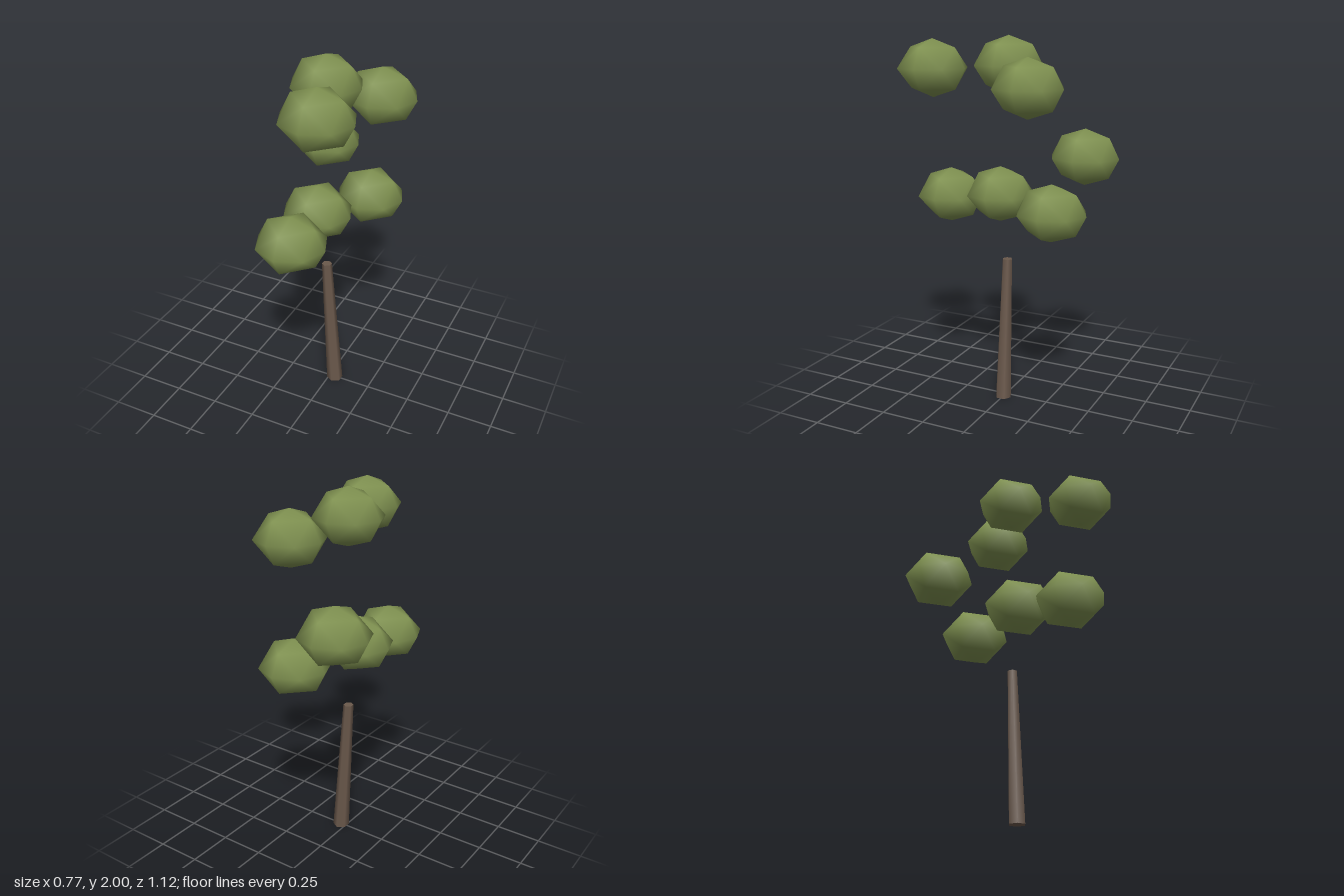
import * as THREE from 'three';

const bark = new THREE.MeshStandardMaterial({ name: 'bark brown', color: 0x6b594c });
const leaf = new THREE.MeshStandardMaterial({ name: 'leaf green', color: 0x7f9150 });

// Six-sided tapered trunk, sheared so it leans while both ends stay level
function makeTrunk() {
  const height = 0.8, baseX = 0.033, topX = -0.018;
  const geometry = new THREE.CylinderGeometry(0.028, 0.046, height, 6);
  geometry.translate(0, height / 2, 0);
  const lean = (topX - baseX) / height;
  geometry.applyMatrix4(new THREE.Matrix4().makeShear(0, 0, lean, 0, 0, 0));
  const trunk = new THREE.Mesh(geometry, bark);
  trunk.name = 'trunk';
  trunk.position.x = baseX;
  return trunk;
}

// Squashed leaf clumps floating in two tiers: centre x, y, z
const clumps = {
  upper: [[0.115, 1.83, 0.371], [-0.021, 1.848, -0.006], [0.191, 1.75, -0.211]],
  lower: [
    [-0.195, 1.366, -0.373], [0.103, 1.114, -0.309],
    [-0.045, 1.155, 0.055], [-0.041, 1.126, 0.359],
  ],
};

export function createModel() {
  const tree = new THREE.Group();
  tree.name = 'tree';
  tree.add(makeTrunk());

  const clumpGeometry = new THREE.OctahedronGeometry(0.19, 1).scale(1, 0.8, 1);
  for (const [tier, centres] of Object.entries(clumps)) {
    const foliage = new THREE.Group();
    foliage.name = `${tier}Foliage`;
    centres.forEach((centre, i) => {
      const clump = new THREE.Mesh(clumpGeometry, leaf);
      clump.name = `${tier}LeafClump${i + 1}`;
      clump.position.set(...centre);
      foliage.add(clump);
    });
    tree.add(foliage);
  }
  return tree;
}
